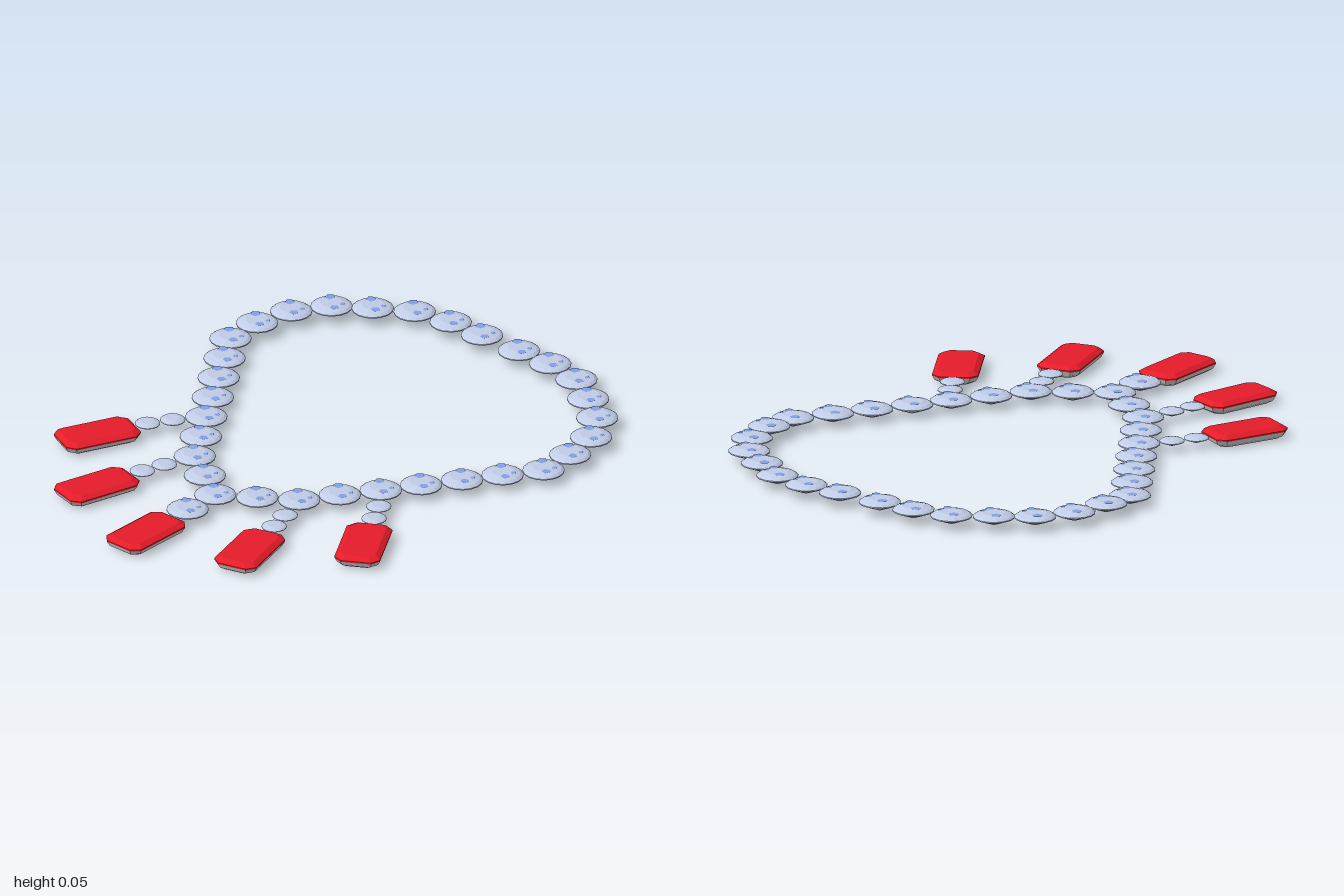
import * as THREE from 'three';

function material(name, color) {
  const m = new THREE.MeshStandardMaterial({ color });
  m.name = name;
  return m;
}
const pale = material('paleBlueGem', 0xc3cfe9);
const blue = material('blueFacet', 0x8aa8f0);
const red = material('redGem', 0xe81c2a);
const grey = material('greySetting', 0xdcdcdc);

// Faceted solid through rings listed from bottom to top, each counter-clockwise from above
function loft(rings, capBottom, capTop) {
  const pos = [];
  const tri = (a, b, c) => pos.push(...a, ...b, ...c);
  const n = rings[0].length;
  for (let k = 0; k + 1 < rings.length; k++) {
    const a = rings[k], b = rings[k + 1];
    for (let i = 0; i < n; i++) {
      const j = (i + 1) % n;
      tri(a[i], a[j], b[j]);
      tri(a[i], b[j], b[i]);
    }
  }
  const lo = rings[0], hi = rings[rings.length - 1];
  for (let i = 1; i + 1 < n; i++) {
    if (capBottom) tri(lo[0], lo[i + 1], lo[i]);
    if (capTop) tri(hi[0], hi[i], hi[i + 1]);
  }
  const g = new THREE.BufferGeometry();
  g.setAttribute('position', new THREE.Float32BufferAttribute(pos, 3));
  g.computeVertexNormals();
  return g;
}

// Round ring of a brilliant cut
const roundRing = (r, y) => Array.from({ length: 16 }, (_, i) => {
  const a = (i / 16) * Math.PI * 2;
  return [r * Math.cos(a), y, -r * Math.sin(a)];
});

// Rectangle ring with cut corners, shrunk by an inset
function cutRing(inset, y) {
  const x = 0.137 - inset, z = 0.078 - inset, c = 0.026 - inset * 0.3;
  return [[x, z - c], [x - c, z], [c - x, z], [-x, z - c], [-x, c - z], [c - x, -z], [x - c, -z], [x, c - z]]
    .map(([px, pz]) => [px, y, -pz]);
}

export function createModel() {
  const model = new THREE.Group();
  model.name = 'necklace';

  // Round stones: pointed below, shallow crown above, girdle near y = 0
  const gem = loft([
    roundRing(0.003, -0.028), roundRing(0.071, -0.001), roundRing(0.071, 0.003),
    roundRing(0.061, 0.01), roundRing(0.038, 0.0165),
  ], true, true);
  const facet = new THREE.CircleGeometry(0.019, 5).rotateX(-Math.PI / 2);
  const addGem = (name, x, y, z, s = 1) => {
    const m = new THREE.Mesh(gem, pale);
    m.name = name;
    m.position.set(x, y, z);
    m.scale.setScalar(s);
    model.add(m);
    return m;
  };
  // Large stones carry small blue facets on the crown
  const addLargeGem = (name, x, y, z) => {
    const stone = addGem(name, x, y, z);
    for (const [fx, fz, s] of [[0.024, -0.028, 1], [-0.022, 0.032, 0.85], [0.014, 0.036, 0.5]]) {
      const f = new THREE.Mesh(facet, blue);
      f.name = 'blueFacet';
      f.position.set(fx, 0.0172, fz);
      f.scale.setScalar(s);
      stone.add(f);
    }
  };

  // Chain: half the loop, mirrored to the other side
  const half = [
    [-0.433, 0.118], [-0.353, 0.235], [-0.235, 0.313], [-0.118, 0.393], [0, 0.469], [0.118, 0.548],
    [0.235, 0.626], [0.353, 0.705], [0.487, 0.705], [0.626, 0.675], [0.743, 0.598], [0.824, 0.485],
    [0.9, 0.364], [0.925, 0.224], [0.925, 0.083],
  ];
  addLargeGem('chainStone', -0.513, 0.037, 0);
  for (const side of [-1, 1]) {
    for (const [x, z] of half) addLargeGem('chainStone', x, x > 0.4 ? 0.043 : 0.037, side * z);
    // Small linking stones
    for (const [x, z] of [[-0.465, 0.272], [-0.548, 0.297], [-0.208, 0.464], [-0.283, 0.51]])
      addGem('linkStone', x, 0.037, side * z, 0.6);
  }
  addLargeGem('centreLinkStone', -0.652, 0.037, 0);

  // Pendants: red step-cut crown in a tapered grey setting
  const crown = loft([cutRing(0, 0.034), cutRing(0, 0.039), cutRing(0.018, 0.051)], false, true);
  const base = loft([cutRing(0.026, 0.006), cutRing(0.008, 0.018), cutRing(0, 0.034)], true, false);
  const pendants = [
    [-0.863, 0, 0], [-0.725, -0.344, -0.27], [-0.725, 0.345, 0.27],
    [-0.449, -0.588, -0.42], [-0.44, 0.602, 0.54],
  ];
  for (const [x, z, turn] of pendants) {
    const pendant = new THREE.Group();
    pendant.name = 'pendant';
    const top = new THREE.Mesh(crown, red);
    top.name = 'pendantCrown';
    const bottom = new THREE.Mesh(base, grey);
    bottom.name = 'pendantSetting';
    pendant.add(top, bottom);
    pendant.position.set(x, 0, z);
    pendant.rotation.y = turn;
    model.add(pendant);
  }
  return model;
}
